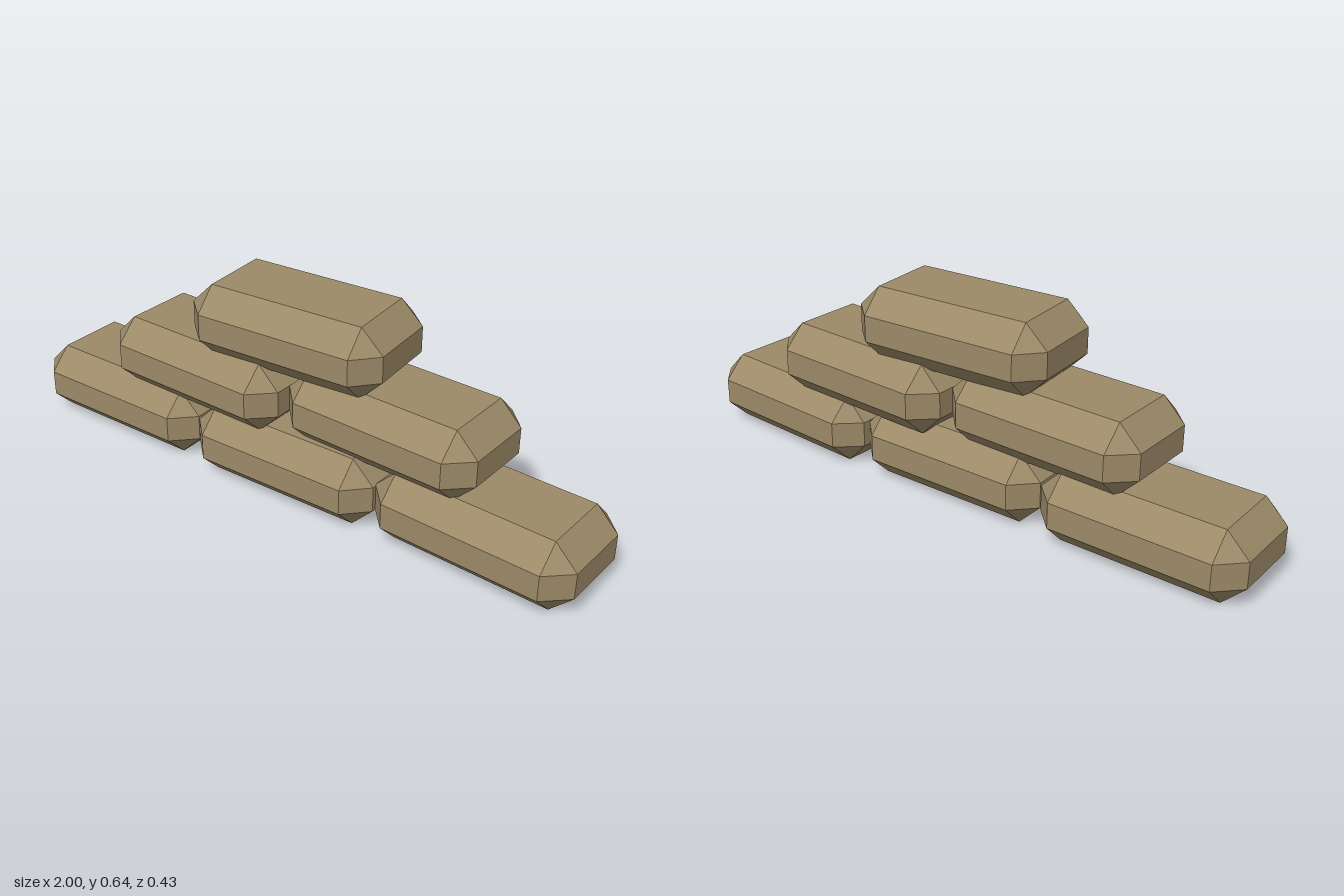
import * as THREE from 'three';
import { ConvexGeometry } from 'three/addons/geometries/ConvexGeometry.js';

// Box with every edge chamfered and a triangle at each corner
function chamferedBox(width, height, depth, c) {
  const points = [];
  const [x, y, z] = [width / 2, height / 2, depth / 2];
  for (const i of [-1, 1]) for (const j of [-1, 1]) for (const k of [-1, 1]) {
    points.push(
      new THREE.Vector3(i * x, j * (y - c), k * (z - c)),
      new THREE.Vector3(i * (x - c), j * y, k * (z - c)),
      new THREE.Vector3(i * (x - c), j * (y - c), k * z),
    );
  }
  return new ConvexGeometry(points);
}

export function createModel() {
  const group = new THREE.Group();
  group.name = 'sandbagWall';

  const burlap = new THREE.MeshStandardMaterial({ color: 0x9c8a68 });
  burlap.name = 'burlap';

  const height = 0.227;
  const bag = chamferedBox(0.66, height, 0.37, 0.072);

  // Rows from the ground up: each bag is [x, z, yaw]
  const rows = [
    [[-0.668, 0.002, -0.01], [0.002, 0.015, 0], [0.663, 0.015, -0.06]],
    [[-0.332, 0.012, -0.035], [0.332, -0.013, -0.05]],
    [[-0.005, -0.002, 0.05]],
  ];
  const rowNames = ['bottomBag', 'middleBag', 'topBag'];

  rows.forEach((row, r) => row.forEach(([x, z, yaw], i) => {
    const mesh = new THREE.Mesh(bag, burlap);
    mesh.name = rowNames[r] + (i + 1);
    mesh.position.set(x, height / 2 + r * 0.207, z);
    mesh.rotation.y = yaw;
    group.add(mesh);
  }));

  return group;
}
